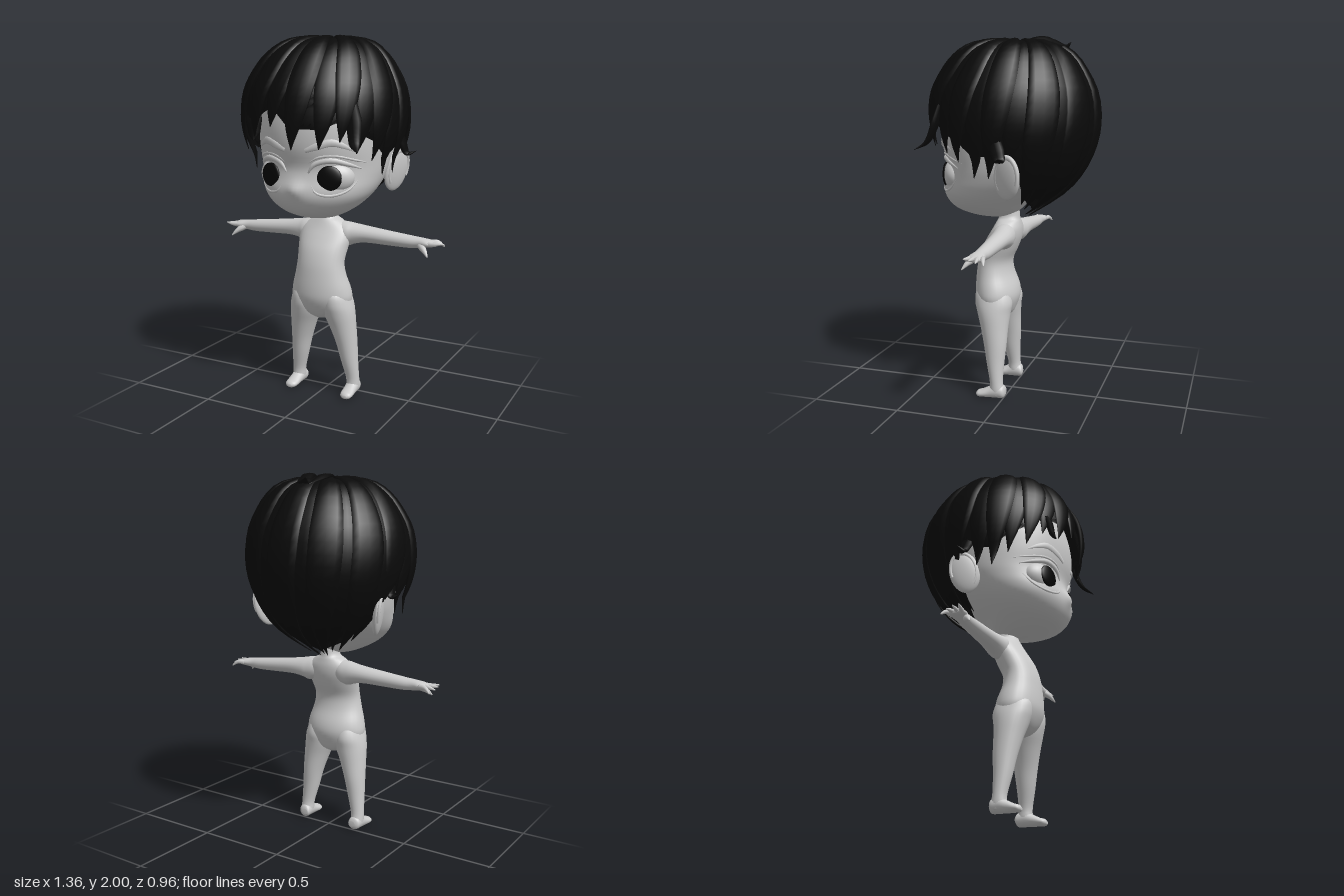
import * as THREE from 'three';
import { ParametricGeometry } from 'three/addons/geometries/ParametricGeometry.js';

const V = (x, y, z) => new THREE.Vector3(x, y, z);
const skin = new THREE.MeshStandardMaterial({ color: 0xcccccc, roughness: 0.8 });
const hairMat = new THREE.MeshStandardMaterial({ color: 0x0a0a0a, roughness: 0.9, side: THREE.DoubleSide });
const irisMat = new THREE.MeshStandardMaterial({ color: 0x050505 });

// Closed skin over elliptical rings {c, u, v}: centre and two half-axes
function loft(rings, n = 20) {
  const pos = [], idx = [], m = rings.length;
  for (const { c, u, v } of rings) for (let i = 0; i < n; i++) {
    const a = (i / n) * Math.PI * 2;
    pos.push(...c.clone().addScaledVector(u, Math.cos(a)).addScaledVector(v, Math.sin(a)).toArray());
  }
  pos.push(...rings[0].c.toArray(), ...rings[m - 1].c.toArray());
  const k = m >> 1, path = rings[k].c.clone().sub(rings[k - 1].c);
  const flip = rings[k].v.clone().cross(path).dot(rings[k].u) < 0;
  const tri = (a, b, c) => (flip ? idx.push(a, c, b) : idx.push(a, b, c));
  for (let i = 0; i < n; i++) {
    const j = (i + 1) % n, e = (m - 1) * n;
    for (let r = 0; r < m - 1; r++) {
      const o = r * n;
      tri(o + i, o + j, o + n + i);
      tri(o + j, o + n + j, o + n + i);
    }
    tri(m * n, j, i);
    tri(m * n + 1, e + i, e + j);
  }
  const g = new THREE.BufferGeometry();
  g.setAttribute('position', new THREE.Float32BufferAttribute(pos, 3));
  g.setIndex(idx);
  g.computeVertexNormals();
  return g;
}

// Adds in-between rows along a Catmull-Rom spline
function smooth(rows, steps = 4) {
  const out = [];
  for (let i = 0; i < rows.length - 1; i++) for (let s = 0; s < steps; s++) {
    const t = s / steps, p = [rows[i - 1] ?? rows[i], rows[i], rows[i + 1], rows[i + 2] ?? rows[i + 1]];
    out.push(rows[i].map((_, k) => {
      const [a, b, c, d] = p.map((r) => r[k]);
      return b + 0.5 * t * (c - a + t * (2 * a - 5 * b + 4 * c - d + t * (3 * (b - c) + d - a)));
    }));
  }
  out.push(rows[rows.length - 1]);
  return out;
}

// Upright rings from rows [y, xMin, xMax, zFront, zBack]
const upright = (rows) => smooth(rows).map(([y, x0, x1, f, b]) => ({
  c: V((x0 + x1) / 2, y, (f + b) / 2), u: V((x1 - x0) / 2, 0, 0), v: V(0, 0, (f - b) / 2) }));

// Tapered strand through points; flat keeps its broad side across 'side'
function strand(points, radii, flat = 1, side = V(0, 1, 0)) {
  const curve = new THREE.CatmullRomCurve3(points.map((p) => V(...p))), m = 14, rings = [];
  for (let i = 0; i <= m; i++) {
    const f = (i / m) * (radii.length - 1), k = Math.min(Math.floor(f), radii.length - 2);
    const r = THREE.MathUtils.lerp(radii[k], radii[k + 1], f - k), T = curve.getTangent(i / m);
    const u = side.clone().addScaledVector(T, -side.dot(T)).normalize();
    rings.push({ c: curve.getPoint(i / m), u: u.clone().multiplyScalar(r), v: T.cross(u).multiplyScalar(r * flat) });
  }
  return loft(rings, 8);
}

function mirrorX(g) {
  const h = g.index ? g.toNonIndexed() : g.clone();
  for (const name of ['position', 'normal']) {
    const a = h.attributes[name];
    for (let i = 0; i < a.count; i += 3) {
      const p = [0, 1, 2].map((k) => [-a.getX(i + k), a.getY(i + k), a.getZ(i + k)]);
      a.setXYZ(i, ...p[0]); a.setXYZ(i + 1, ...p[2]); a.setXYZ(i + 2, ...p[1]);
    }
  }
  h.deleteAttribute('uv');
  return h;
}

function ellipsoid(r, at, rot) {
  const M = new THREE.Matrix4().compose(V(...at), new THREE.Quaternion().setFromEuler(new THREE.Euler(...rot)), V(...r));
  return new THREE.SphereGeometry(1, 28, 20).applyMatrix4(M);
}

// Head rows [y, half width, front, back]
const HEAD = smooth([[1.015, .03, .14, .05], [1.03, .1, .22, .0], [1.06, .17, .305, -.05], [1.1, .235, .35, -.09],
  [1.15, .288, .375, -.15], [1.2, .32, .377, -.21], [1.26, .343, .362, -.27], [1.32, .358, .358, -.31], [1.42, .37, .383, -.36],
  [1.55, .375, .385, -.38], [1.7, .35, .35, -.36], [1.8, .28, .28, -.29], [1.87, .15, .15, -.18], [1.9, .03, .03, -.06]]);
function headAt(y) {
  const i = Math.max(1, HEAD.findIndex((r) => r[0] >= y)), a = HEAD[i - 1], b = HEAD[i];
  const t = (y - a[0]) / (b[0] - a[0]), [, w, f, k] = a.map((q, j) => q + (b[j] - q) * t);
  return { w, mid: (f + k) / 2, deep: (f - k) / 2 };
}
function faceZ(x, y) {
  const { w, mid, deep } = headAt(y);
  return mid + deep * Math.sqrt(Math.max(0, 1 - (x / w) ** 2));
}

// Hair dome: radius/height profile from crown to nape
const PROFILE = new THREE.CatmullRomCurve3([[0, 1.95], [.1, 1.962], [.24, 1.932], [.32, 1.873], [.38, 1.79], [.425, 1.7],
  [.445, 1.59], [.443, 1.49], [.42, 1.39], [.375, 1.29], [.31, 1.2], [.2, 1.11], [.08, 1.03]].map(([r, y]) => V(r, y, 0))).getPoints(240);
// Lock tips as [azimuth from the front in degrees, height]
const LOCKS = [[-172, 1.02], [-158, 1.03], [-144, 1.05], [-130, 1.07], [-117, 1.12], [-104, 1.36], [-89, 1.28], [-77, 1.27], [-65, 1.34],
  [-52, 1.39], [-40, 1.46], [-27, 1.46], [-11, 1.52], [5, 1.41], [24, 1.41], [38, 1.45], [51, 1.39], [64, 1.35], [77, 1.27], [89, 1.28],
  [104, 1.36], [117, 1.12], [130, 1.07], [144, 1.05], [158, 1.03], [173, 1.02]];
const hemIndex = (y) => Math.min(239, PROFILE.findLastIndex((p) => p.y >= y));
function dome(az, t, hem, lift) {
  const f = t * hemIndex(hem), i = Math.min(Math.floor(f), 239), p = PROFILE[i].clone().lerp(PROFILE[i + 1], f - i);
  const d = PROFILE[i + 1].clone().sub(PROFILE[i]).normalize(), a = az + 0.3 * (1 - t);
  // Keep the lock outside the head
  if (p.y < 1.55) {
    const { w, mid, deep } = headAt(p.y), s = Math.sin(a), c = Math.cos(a);
    p.x = Math.max(p.x, 1 / Math.hypot(s / w, c / deep) + mid * c + .02, Math.abs(az) < 1.75 ? .405 : 0);
  }
  const radial = V(Math.sin(a), 0, Math.cos(a)), n = radial.clone().multiplyScalar(-d.y).setY(d.x);
  const c = radial.multiplyScalar(p.x).multiply(V(.97, 1, 1.01))
    .add(V(-.02 * Math.min(1, 2 * t), p.y, -.03 * (1 - t) ** 3)).addScaledVector(n, lift);
  return { c, n, r: p.x, side: V(Math.cos(a), 0, -Math.sin(a)) };
}
function lock([deg, hem], k) {
  const az = THREE.MathUtils.degToRad(deg), rings = [], m = 22, point = Math.abs(deg) < 100 ? 3.5 : 6;
  for (let i = 0; i <= m; i++) {
    const t = i / m, { c, n, r, side } = dome(az, t, hem, (k % 2) * 0.012);
    const w = Math.max(r, .02) * 0.21 * Math.max(.02, 1 - t ** point);
    rings.push({ c, u: n.multiplyScalar(.024 * Math.max(.08, 1 - t ** 4) * Math.min(1, .3 + 3 * t)), v: side.multiplyScalar(w) });
  }
  return loft(rings, 10);
}

export function createModel() {
  const root = new THREE.Group();
  const add = (name, geo, mat = skin) => {
    const m = new THREE.Mesh(geo, mat);
    m.name = name;
    root.add(m);
  };
  const pair = (name, geo, mat) => {
    add(name + 'Left', geo, mat);
    add(name + 'Right', mirrorX(geo), mat);
  };

  // Torso and neck
  add('torso', loft(upright([[.44, .03, .11, .03], [.46, .08, .145, -.002], [.5, .15, .175, -.022], [.56, .178, .2, -.04], [.62, .173, .205, -.034],
    [.7, .15, .2, -.005], [.77, .139, .19, 0], [.84, .146, .168, -.03], [.9, .155, .135, -.05], [.95, .145, .105, -.055],
    [.99, .095, .085, -.05], [1.015, .055, .075, -.045], [1.07, .05, .07, -.04]].map(([y, w, f, b]) => [y, -w, w, f, b])), 32));

  // Legs and feet
  pair('leg', loft(upright([[.66, .07, .12, .12, .04], [.6, .035, .16, .178, -.008], [.54, .015, .182, .185, -.028], [.48, .015, .194, .17, -.02],
    [.4, .048, .199, .145, -.012], [.3, .083, .203, .12, -.008], [.2, .108, .206, .1, 0], [.1, .134, .21, .078, .003],
    [.05, .137, .211, .078, -.006], [.02, .145, .205, .07, -.004]]), 24));
  pair('foot', loft(smooth([[-.012, .164, .02, .04, .015], [0, .172, .034, .042, .036], [.04, .174, .037, .045, .042], [.08, .175, .036, .034, .032],
    [.12, .176, .037, .024, .022], [.145, .177, .03, .02, .018], [.157, .177, .012, .018, .008]]).map(([z, x, w, y, h]) => (
    { c: V(x, y, z), u: V(w, 0, 0), v: V(0, h, 0) }))));

  // Arms, rows [x, top, bottom, front, back]
  pair('arm', loft(smooth([[.02, .98, .88, .05, -.02], [.08, .988, .862, .072, -.045], [.13, .986, .852, .076, -.052], [.17, .979, .865, .066, -.054],
    [.24, .969, .876, .055, -.052], [.36, .955, .874, .046, -.045], [.48, .942, .872, .038, -.04], [.54, .936, .877, .034, -.036],
    [.585, .93, .884, .042, -.045], [.615, .922, .888, .038, -.046], [.63, .914, .895, .02, -.03]]).map(([x, t, b, f, k]) => (
    { c: V(x, (t + b) / 2, (f + k) / 2), u: V(0, (t - b) / 2, 0), v: V(0, 0, (f - k) / 2) }))));

  // Fingers and thumb
  for (const [z0, x1, y1, z1] of [[-.034, .662, .885, -.062], [-.014, .676, .9, -.025], [.006, .678, .91, .008], [.024, .67, .915, .038]])
    pair('finger', strand([[.59, .907, z0], [.63, .908, (z0 + z1) / 2], [x1, y1, z1]], [.014, .013, .01, .003]));
  pair('thumb', strand([[.55, .9, .015], [.585, .878, .045], [.615, .847, .07]], [.018, .018, .012, .003]));

  // Head, with a soft nose pulled out of the face
  const head = loft(HEAD.map(([y, w, f, b]) => ({ c: V(0, y, (f + b) / 2), u: V(w, 0, 0), v: V(0, 0, (f - b) / 2) })), 96);
  const hp = head.attributes.position;
  for (let i = 0; i < hp.count; i++)
    if (hp.getZ(i) > .2) hp.setZ(i, hp.getZ(i) + .018 * Math.exp(-((hp.getX(i) / .045) ** 2) - ((hp.getY(i) - 1.2) / .04) ** 2));
  head.computeVertexNormals();
  add('head', head);

  // Eyes, lids and brows
  pair('eyeball', ellipsoid([.108, .084, .07], [.172, 1.265, .267], [0, .4, 0]));
  pair('iris', ellipsoid([.065, .064, .018], [.174, 1.265, .325], [0, .28, 0]), irisMat);
  const onFace = (pts, out) => pts.map(([x, y]) => [x, y, faceZ(x, y) + out]);
  pair('upperLid', strand(onFace([[.065, 1.29], [.1, 1.335], [.18, 1.355], [.25, 1.335], [.3, 1.31]], 0), [.004, .014, .016, .012, .003], .8));
  pair('lidCrease', strand(onFace([[.06, 1.335], [.12, 1.37], [.2, 1.378], [.28, 1.355], [.32, 1.34]], -.002), [.002, .007, .007, .007, .002], .8));
  pair('lowerLid', strand(onFace([[.075, 1.25], [.11, 1.19], [.18, 1.174], [.25, 1.2], [.285, 1.25]], -.002), [.002, .007, .008, .007, .002], .8));
  pair('brow', strand(onFace([[.06, 1.405], [.12, 1.428], [.19, 1.447], [.24, 1.43], [.28, 1.402]], 0), [.012, .02, .02, .014, .003], .4));

  // Ears with a raised rim, leaning outwards at the top and back
  pair('ear', ellipsoid([.026, .12, .083], [.368, 1.28, -.085], [-.2, -.35, -.2]));
  pair('earRim', new THREE.TorusGeometry(1, .13, 10, 32, Math.PI * 1.4).rotateZ(-.3).rotateY(Math.PI / 2)
    .scale(.07, .1, .068).rotateZ(-.2).rotateY(-.35).rotateX(-.2).translate(.381, 1.285, -.088));

  // Under-hair cap, its hem following the lock tips
  const hemAt = (deg) => {
    const i = LOCKS.findIndex((l) => l[0] > deg);
    if (i <= 0) return 1.02;
    const [a, b] = [LOCKS[i - 1], LOCKS[i]];
    return a[1] + ((b[1] - a[1]) * (deg - a[0])) / (b[0] - a[0]) + (Math.abs(deg) < 100 ? .1 : .03);
  };
  add('hairCap', new ParametricGeometry((u, v, out) => {
    const deg = u * 360 - 180;
    out.copy(dome(THREE.MathUtils.degToRad(deg), v, hemAt(deg), -.008).c);
  }, 78, 20), hairMat);

  // Overlapping hair locks
  LOCKS.forEach((l, k) => add('hairLock', lock(l, k), hairMat));

  // Crown tufts: [points, radii, direction of the broad side]
  const X = V(1, 0, 0), Z = V(0, 0, 1);
  for (const [pts, radii, side] of [
    [[[.02, 1.95, -.03], [.02, 1.982, -.12], [0, 1.985, -.19], [-.02, 1.955, -.25], [-.05, 1.945, -.29], [-.07, 1.97, -.31]], [.015, .035, .045, .04, .003], X],
    [[[-.02, 1.95, -.04], [-.07, 1.98, -.1], [-.1, 1.978, -.2], [-.08, 1.94, -.3]], [.01, .035, .04, .004], X],
    [[[0, 1.95, -.03], [-.1, 1.978, 0], [-.18, 1.968, 0], [-.24, 1.945, -.01], [-.28, 1.955, -.01]], [.01, .03, .035, .004], Z],
    [[[0, 1.95, -.03], [.03, 1.978, .06], [.05, 1.97, .15], [.05, 1.94, .24]], [.01, .03, .035, .004], X],
  ]) add('crownTuft', strand(pts, radii, .35, side), hairMat);

  // Flicked tips at the sides and fringe
  pair('sideFlick', strand([[.41, 1.52, -.02], [.42, 1.42, -.05], [.44, 1.37, -.07], [.485, 1.385, -.08]], [.03, .04, .03, .002], .4, Z), hairMat);
  add('fringeTip', strand([[.28, 1.66, .3], [.31, 1.55, .325], [.335, 1.45, .365], [.375, 1.41, .42]], [.03, .045, .03, .002], .4, X), hairMat);
  add('fringeTip', strand([[-.26, 1.64, .34], [-.25, 1.55, .365], [-.24, 1.48, .38], [-.235, 1.45, .4]], [.03, .05, .035, .002], .4, X), hairMat);
  return root;
}
